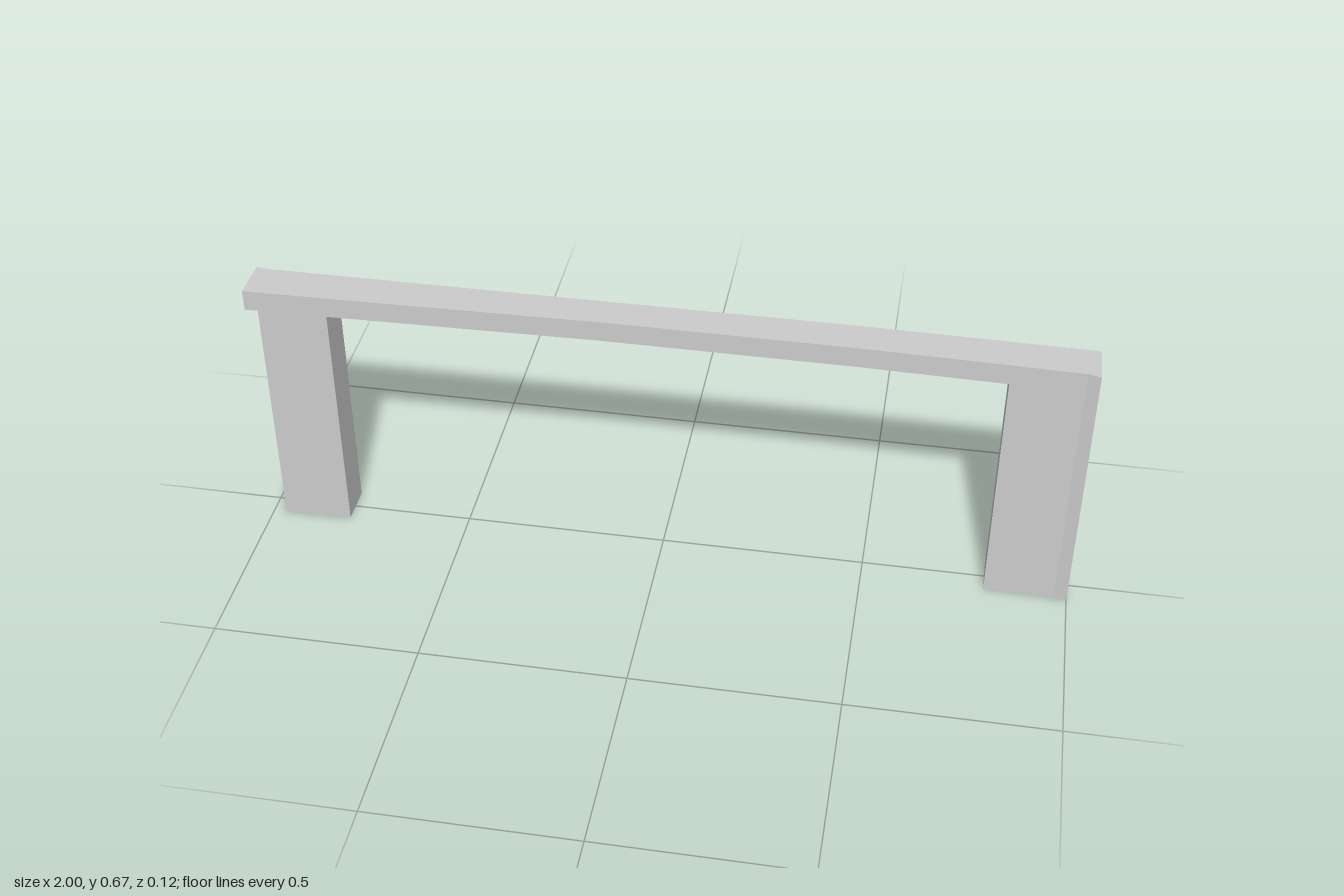
import * as THREE from 'three';

const LEG_HEIGHT = 0.617;
const HEIGHT = 0.669;

// plan outlines of the long edges, as [x, z] from -x to +x
const frontEdge = [[-1, 0.05], [-0.5, 0.041], [-0.15, 0.034], [0.45, 0.037], [0.97, 0.05], [1, 0.059]];
const backEdge = [[-1, -0.058], [-0.97, -0.053], [0.45, -0.053], [1, -0.044]];

// z of an edge at a given x
function edgeZ(edge, x) {
  const i = Math.max(1, edge.findIndex((p) => p[0] >= x));
  const [x0, z0] = edge[i - 1];
  const [x1, z1] = edge[i];
  return z0 + ((z1 - z0) * (x - x0)) / (x1 - x0);
}

// upright prism over a plan outline of [x, z] points
function prism(name, outline, bottom, top) {
  const shape = new THREE.Shape(outline.map(([x, z]) => new THREE.Vector2(x, -z)));
  const geometry = new THREE.ExtrudeGeometry(shape, { depth: top - bottom, bevelEnabled: false });
  geometry.rotateX(-Math.PI / 2);
  geometry.translate(0, bottom, 0);
  const material = new THREE.MeshStandardMaterial({ color: 0xcccccc, flatShading: true });
  const mesh = new THREE.Mesh(geometry, material);
  mesh.name = name;
  return mesh;
}

export function createModel() {
  const group = new THREE.Group();
  group.name = 'beamOnLegs';

  // slightly waisted top beam
  group.add(prism('topBeam', [...frontEdge, ...[...backEdge].reverse()], LEG_HEIGHT, HEIGHT));

  // left leg, outer end cut back towards the rear
  const leftLeg = [
    [0.8, edgeZ(frontEdge, 0.8)], [0.97, 0.05], [1, 0.059],
    [0.998, 0.044], [0.968, edgeZ(backEdge, 0.968)], [0.8, edgeZ(backEdge, 0.8)],
  ];
  group.add(prism('leftLeg', leftLeg, 0, LEG_HEIGHT));

  // right leg, outer end cut back towards the front
  const rightLeg = [
    [-0.8, edgeZ(frontEdge, -0.8)], [-0.968, edgeZ(frontEdge, -0.968)], [-0.998, -0.044],
    [-1, -0.058], [-0.97, -0.053], [-0.8, edgeZ(backEdge, -0.8)],
  ];
  group.add(prism('rightLeg', rightLeg, 0, LEG_HEIGHT));

  return group;
}
